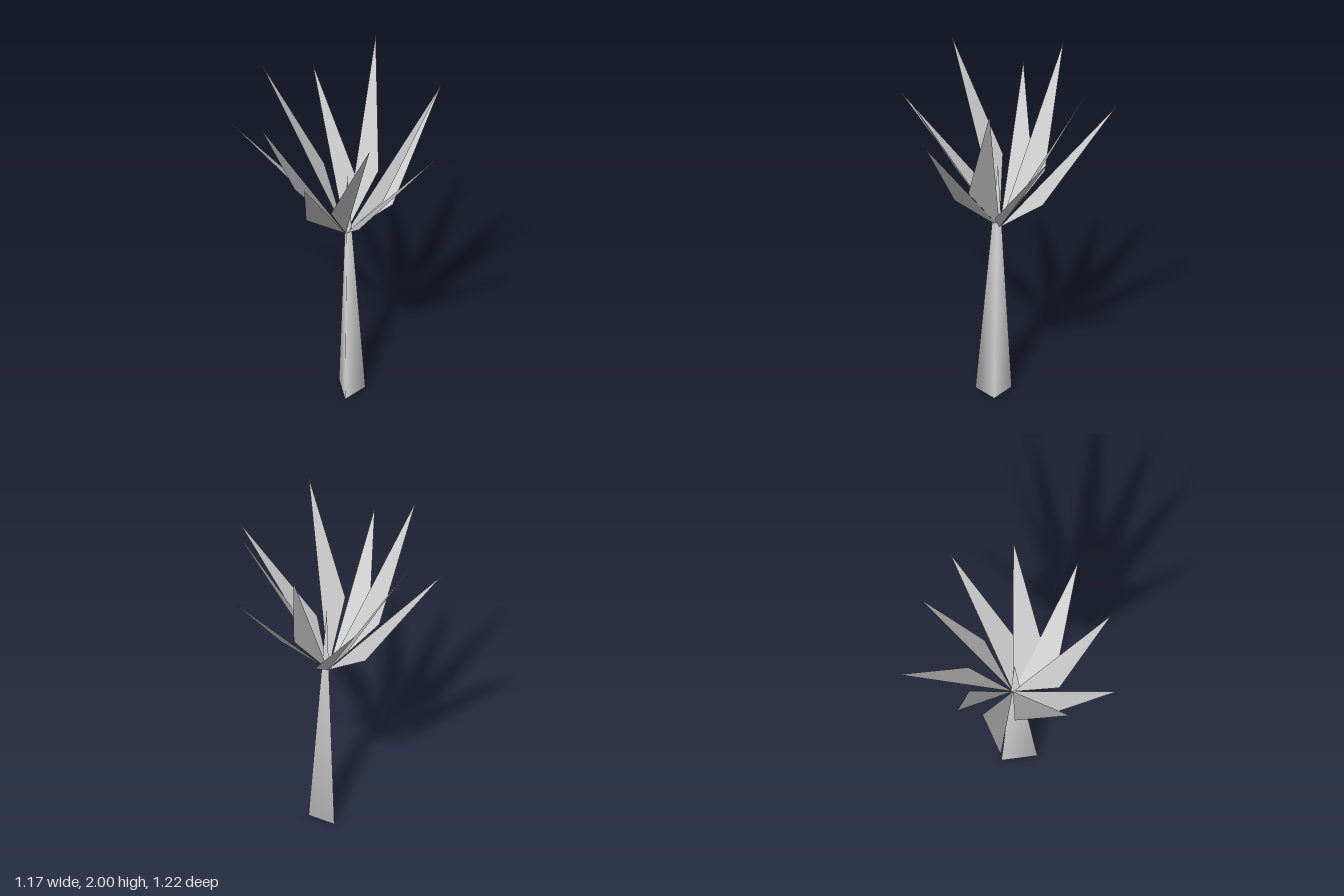
import * as THREE from 'three';

const grey = new THREE.MeshStandardMaterial({ color: 0xcccccc, side: THREE.DoubleSide });

// Mesh from corner points and triangle indices
function facets(name, points, index) {
  const g = new THREE.BufferGeometry();
  g.setAttribute('position', new THREE.Float32BufferAttribute(points.flat(), 3));
  g.setIndex(index);
  g.computeVertexNormals();
  const mesh = new THREE.Mesh(g, grey);
  mesh.name = name;
  return mesh;
}

export function createModel() {
  const model = new THREE.Group();
  model.name = 'palmTree';

  // Trunk: three-sided spike with smooth sides, its point hidden among the leaves
  const foot = [[0.072, 0, 0.12], [0.07, 0, -0.045], [-0.09, 0, 0]];
  const apex = [-0.008, 1.42, 0.02];
  model.add(facets('trunk', [...foot, apex], [0, 1, 3, 1, 2, 3, 2, 0, 3]));
  model.add(facets('trunkBase', foot, [0, 2, 1]));

  // Leaves: each a triangle from the crown to a side corner and a tip.
  // Low and tall leaves alternate. Values: tip x, y, z, then corner x, z.
  const crown = [-0.02, 1.02, 0.02];
  const leaves = [
    [0.11, 1.76, -0.61, 0.165, -0.165],
    [0.35, 2.0, -0.355, 0.23, -0.015],
    [0.585, 1.76, -0.08, 0.2, 0.145],
    [0.45, 1.94, 0.32, 0.1, 0.265],
    [0.22, 1.71, 0.605, -0.075, 0.28],
    [-0.13, 1.95, 0.585, -0.21, 0.23],
    [-0.51, 1.73, 0.425, -0.285, 0.05],
    [-0.56, 1.96, 0.13, -0.27, -0.07],
    [-0.585, 1.73, -0.31, -0.145, -0.205],
    [-0.255, 2.0, -0.47, 0, -0.225],
  ];
  const crownGroup = new THREE.Group();
  crownGroup.name = 'leaves';
  leaves.forEach(([x, y, z, cx, cz], i) => {
    const cy = i % 2 ? 1.33 : 1.21;
    crownGroup.add(facets(i % 2 ? 'tallLeaf' : 'lowLeaf', [crown, [cx, cy, cz], [x, y, z]], [0, 1, 2]));
  });
  model.add(crownGroup);
  return model;
}
